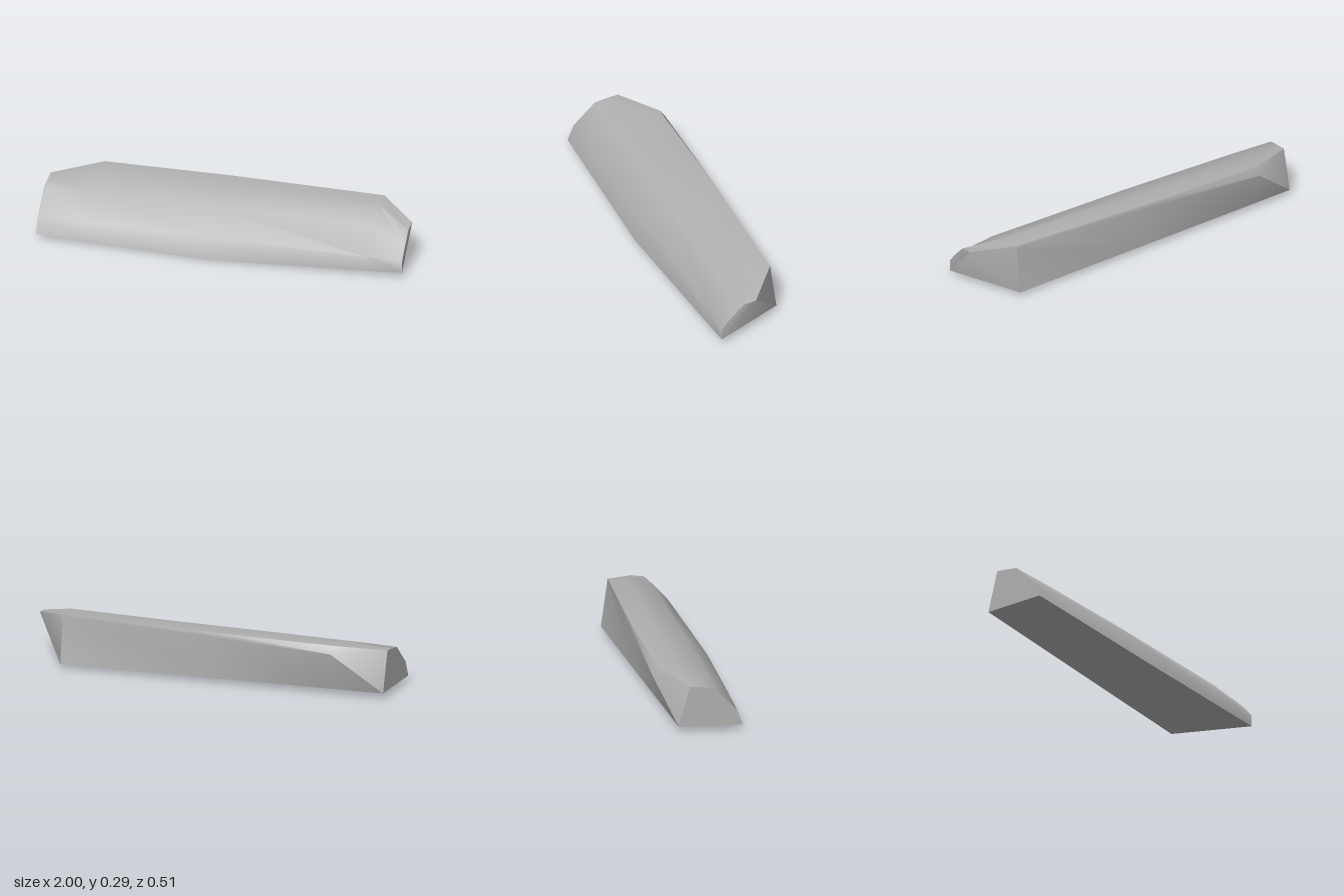
import * as THREE from 'three';
import { toCreasedNormals } from 'three/addons/utils/BufferGeometryUtils.js';

// Cross-sections along x; each lists [z, y] from the lower back edge,
// up over the bevel and top, then down the rounded front.
const sections = [
  { x: -1, ring: [[-0.09, 0.032], [-0.03, 0.255], [-0.03, 0.255], [0.02, 0.25], [0.1, 0.237], [0.222, 0.118], [0.257, 0.03]] },
  { x: -0.74, ring: [[-0.114, 0.03], [-0.2, 0.25], [-0.17, 0.29], [-0.06, 0.29], [0.096, 0.238], [0.217, 0.12], [0.25, 0.022]] },
  { x: -0.05, ring: [[-0.178, 0.026], [-0.21, 0.267], [-0.205, 0.29], [-0.085, 0.29], [0.07, 0.238], [0.195, 0.122], [0.23, 0]] },
  { x: 0.8, ring: [[-0.257, 0.022], [-0.222, 0.28], [-0.22, 0.29], [-0.11, 0.29], [0.025, 0.232], [0.142, 0.102], [0.15, 0.024]] },
  { x: 1, ring: [[0.13, 0.03], [-0.065, 0.237], [-0.065, 0.237], [0.005, 0.227], [0.07, 0.163], [0.13, 0.095], [0.13, 0.03]] },
];

function loft() {
  const points = sections.map(({ x, ring }) => ring.map(([z, y]) => new THREE.Vector3(x, y, z)));
  const positions = [];
  const triangle = (a, b, c) => {
    if (a.equals(b) || b.equals(c) || c.equals(a)) return;
    for (const p of [a, b, c]) positions.push(p.x, p.y, p.z);
  };
  const count = points[0].length;

  // Skin between neighbouring sections
  for (let i = 0; i < points.length - 1; i++) {
    for (let j = 0; j < count; j++) {
      const k = (j + 1) % count;
      triangle(points[i][j], points[i][k], points[i + 1][k]);
      triangle(points[i][j], points[i + 1][k], points[i + 1][j]);
    }
  }

  // End caps
  const first = points[0];
  const last = points[points.length - 1];
  for (let j = 1; j < count - 1; j++) {
    triangle(first[0], first[j + 1], first[j]);
    triangle(last[0], last[j], last[j + 1]);
  }

  const geometry = new THREE.BufferGeometry();
  geometry.setAttribute('position', new THREE.Float32BufferAttribute(positions, 3));
  return toCreasedNormals(geometry, 0.75);
}

export function createModel() {
  const stone = new THREE.MeshStandardMaterial({ color: 0xb0b0b0 });
  stone.name = 'stone grey';

  const block = new THREE.Mesh(loft(), stone);
  block.name = 'stoneBlock';

  const model = new THREE.Group();
  model.name = 'stone';
  model.add(block);
  return model;
}
